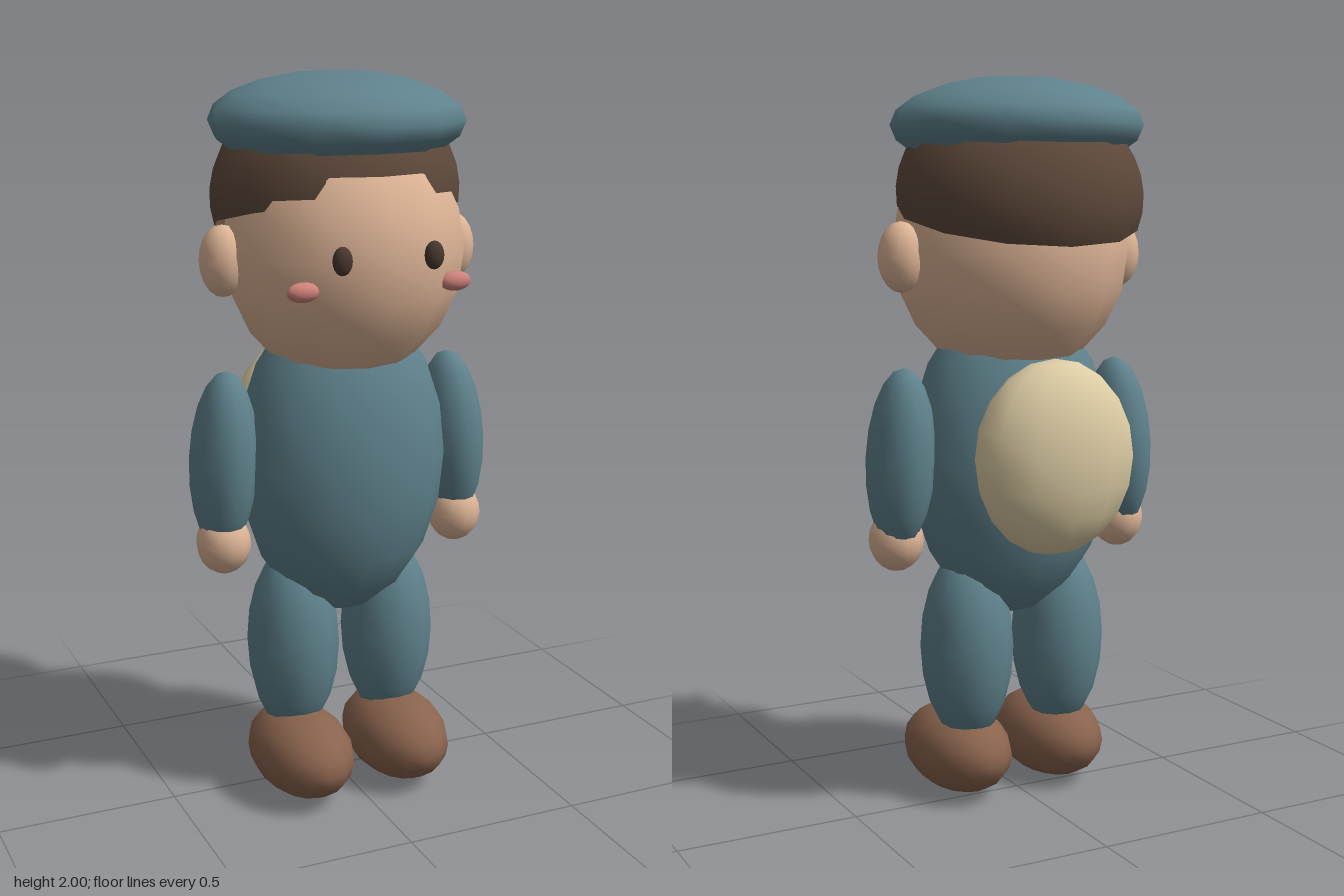
import * as THREE from 'three';

const paint = (name, color, side = THREE.FrontSide) => {
  const m = new THREE.MeshStandardMaterial({ color, side });
  m.name = name;
  return m;
};

export function createModel() {
  const cloth = paint('teal cloth', 0x5f828c);
  const skin = paint('skin', 0xddb496);
  const hairBrown = paint('hair brown', 0x5e493b, THREE.DoubleSide);
  const eyeBrown = paint('eye brown', 0x4a382e);
  const leather = paint('shoe leather', 0x89634d);
  const blush = paint('blush', 0xd0837b);
  const canvas = paint('canvas', 0xdccca4);

  const model = new THREE.Group();
  model.name = 'figure';

  // Smooth, coarse ellipsoid; theta cuts it off below
  const blob = (name, mat, pos, radii, theta = Math.PI, sides = 12) => {
    const geo = new THREE.SphereGeometry(1, sides, 10, 0, Math.PI * 2, 0, theta);
    const mesh = new THREE.Mesh(geo, mat);
    mesh.name = name;
    mesh.position.set(...pos);
    mesh.scale.set(...radii);
    model.add(mesh);
    return mesh;
  };

  // Torso and backpack
  blob('torso', cloth, [0, 0.96, 0.035], [0.298, 0.45, 0.225], Math.PI, 16);
  blob('backpack', canvas, [0, 0.99, -0.215], [0.235, 0.265, 0.14]);

  // Head, hair swept down at the back, and soft cap
  blob('head', skin, [0, 1.535, 0.04], [0.33, 0.355, 0.312]);
  const hair = blob('hair', hairBrown, [0, 1.68, -0.017], [0.345, 0.29, 0.313], 1.78);
  hair.rotation.x = -0.23;
  blob('cap', cloth, [0, 1.87, 0], [0.353, 0.13, 0.317]);

  // Mirrored parts
  for (const [s, side] of [[1, 'left'], [-1, 'right']]) {
    blob(side + 'Ear', skin, [s * 0.335, 1.52, 0.025], [0.063, 0.095, 0.065]);
    blob(side + 'Eye', eyeBrown, [s * 0.128, 1.55, 0.33], [0.027, 0.037, 0.02]);
    blob(side + 'Cheek', blush, [s * 0.215, 1.47, 0.282], [0.045, 0.026, 0.023]);
    const arm = blob(side + 'Arm', cloth, [s * 0.343, 0.975, 0.025], [0.091, 0.25, 0.113]);
    arm.rotation.z = s * 0.06;
    blob(side + 'Hand', skin, [s * 0.352, 0.752, 0.04], [0.075, 0.085, 0.08]);
    blob(side + 'Leg', cloth, [s * 0.145, 0.43, 0.027], [0.13, 0.275, 0.135]);
    blob(side + 'Shoe', leather, [s * 0.148, 0.12, 0.085], [0.138, 0.12, 0.215], Math.PI, 16);
  }
  return model;
}
